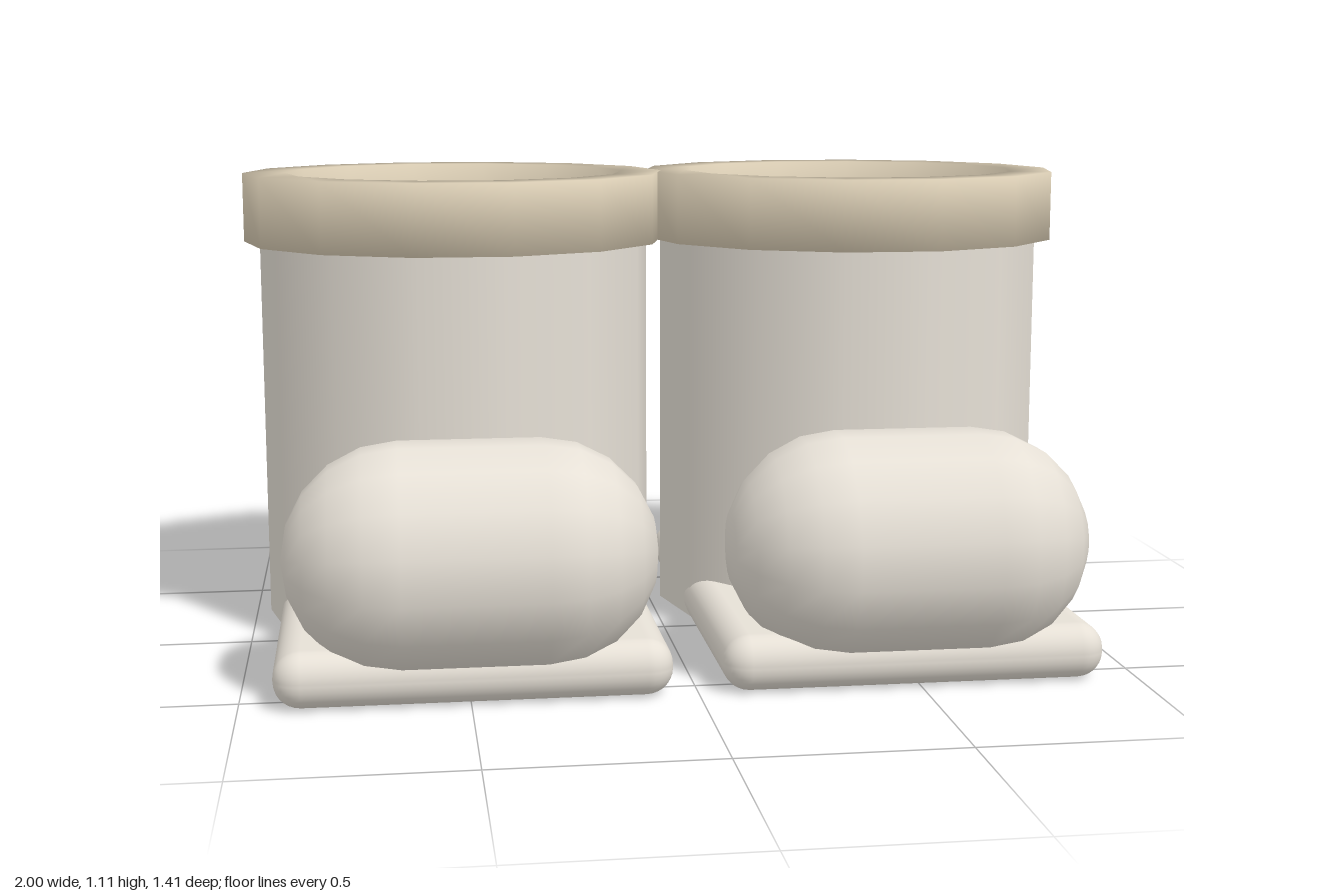
import * as THREE from 'three';
import { RoundedBoxGeometry } from 'three/addons/geometries/RoundedBoxGeometry.js';

const SIDES = 14;
const LEG_Z = -0.205;

function part(name, geometry, color, x, y, z) {
  const mesh = new THREE.Mesh(geometry, new THREE.MeshStandardMaterial({ color }));
  mesh.name = name;
  mesh.position.set(x, y, z);
  return mesh;
}

// Thick ring with a rectangular section, smoothly shaded
function cuffGeometry(inner, outer, height) {
  const profile = [[inner, 0], [outer, 0], [outer, height], [inner, height], [inner, 0]]
    .map(([r, y]) => new THREE.Vector2(r, y));
  return new THREE.LatheGeometry(profile, SIDES, Math.PI / 2);
}

function createBoot() {
  const boot = new THREE.Group();
  const body = 0xe6e0d6;
  const trim = 0xdccfb6;

  // Flat sole with rounded rim
  boot.add(part('sole', new RoundedBoxGeometry(0.87, 0.126, 1.255, 4, 0.06), body, 0, 0.063, -0.0275));

  // Upright shaft, closed just inside the cuff
  const shaft = new THREE.CylinderGeometry(0.4725, 0.4725, 0.925, SIDES, 1, false, Math.PI / 2);
  boot.add(part('shaft', shaft, body, 0, 0.4875, LEG_Z));

  // Cuff around the opening
  boot.add(part('cuff', cuffGeometry(0.41, 0.51, 0.165), trim, 0, 0.945, LEG_Z));

  // Toe cap: capsule lying across the boot
  const toe = new THREE.CapsuleGeometry(0.2565, 0.317, 5, 16);
  toe.rotateY(Math.PI / 16);
  toe.rotateZ(Math.PI / 2);
  boot.add(part('toeCap', toe, body, 0, 0.303, 0.453));

  return boot;
}

export function createModel() {
  const model = new THREE.Group();
  model.name = 'boots';
  for (const [name, side] of [['leftBoot', 1], ['rightBoot', -1]]) {
    const boot = createBoot();
    boot.name = name;
    boot.position.x = side * 0.49;
    model.add(boot);
  }
  return model;
}
